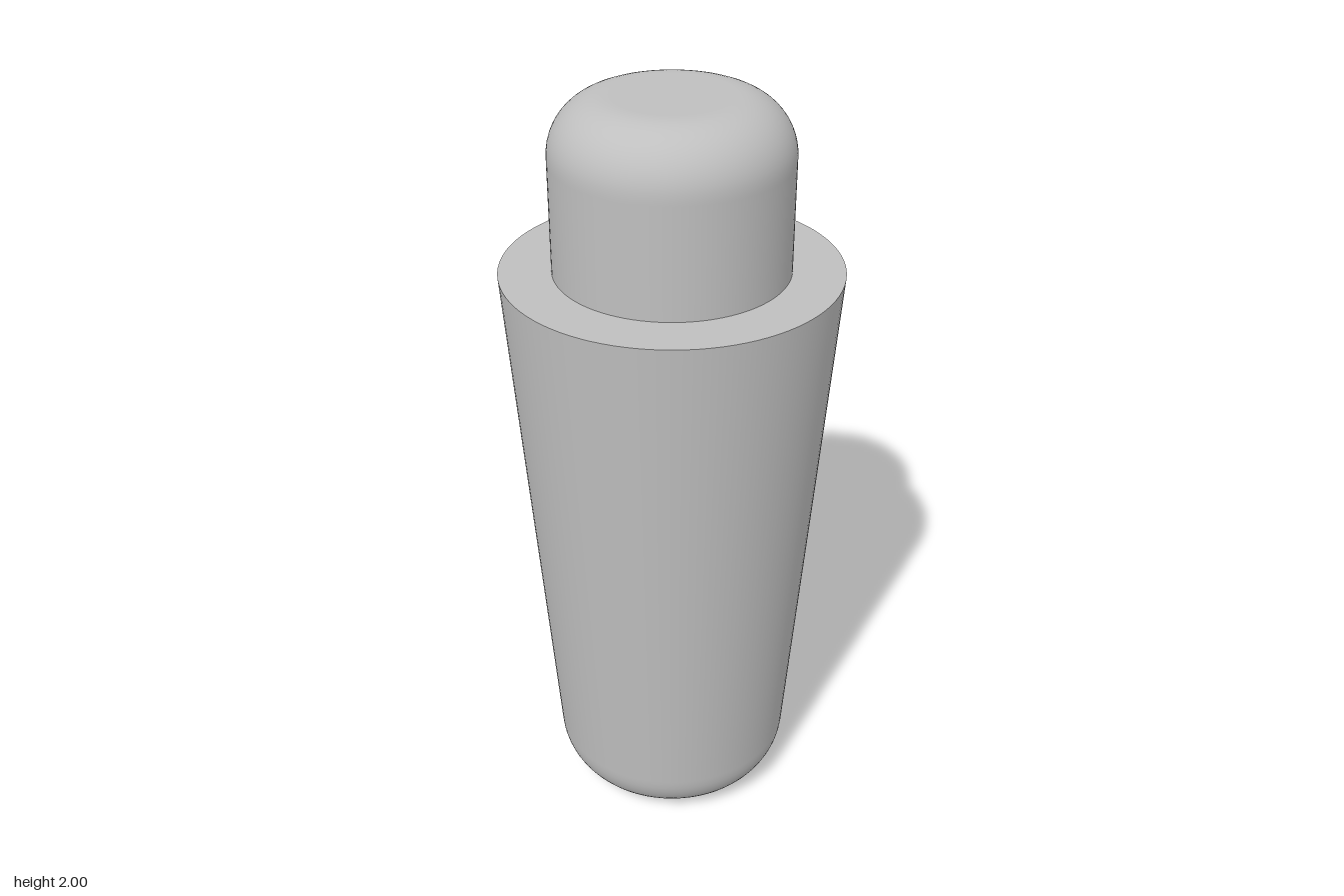
import * as THREE from 'three';

const SEGMENTS = 96;

// Points along a rounded edge, angles in radians
function arc(cx, cy, r, from, to, steps = 14) {
  return Array.from({ length: steps + 1 }, (_, i) => {
    const a = from + (to - from) * i / steps;
    return new THREE.Vector2(cx + r * Math.cos(a), cy + r * Math.sin(a));
  });
}

export function createModel() {
  const model = new THREE.Group();
  model.name = 'taperedPlug';
  const grey = new THREE.MeshStandardMaterial({ color: 0xbfbfbf });
  grey.name = 'grey';
  const v = (x, y) => new THREE.Vector2(x, y);

  function turn(name, profile) {
    const mesh = new THREE.Mesh(new THREE.LatheGeometry(profile, SEGMENTS), grey);
    mesh.name = name;
    model.add(mesh);
  }

  const shoulderY = 1.57, shoulderR = 0.423, knobR = 0.293;

  // Tapered body: flat base, rounded foot, straight wall (short end spans keep flats crisp)
  turn('taperedBody', [
    v(0, 0), v(0.16, 0),
    ...arc(0.167, 0.155, 0.155, -Math.PI / 2, -0.0715),
    v(0.3225, 0.155), v(shoulderR, shoulderY),
  ]);

  // Flat ring on top of the body
  turn('shoulder', [v(shoulderR, shoulderY), v(knobR, shoulderY)]);

  // Cylindrical knob with a rounded, flat top
  turn('knob', [
    v(knobR, shoulderY), v(knobR, 1.85),
    ...arc(knobR - 0.14, 1.86, 0.14, 0, Math.PI / 2),
    v(0.145, 2), v(0, 2),
  ]);

  return model;
}
